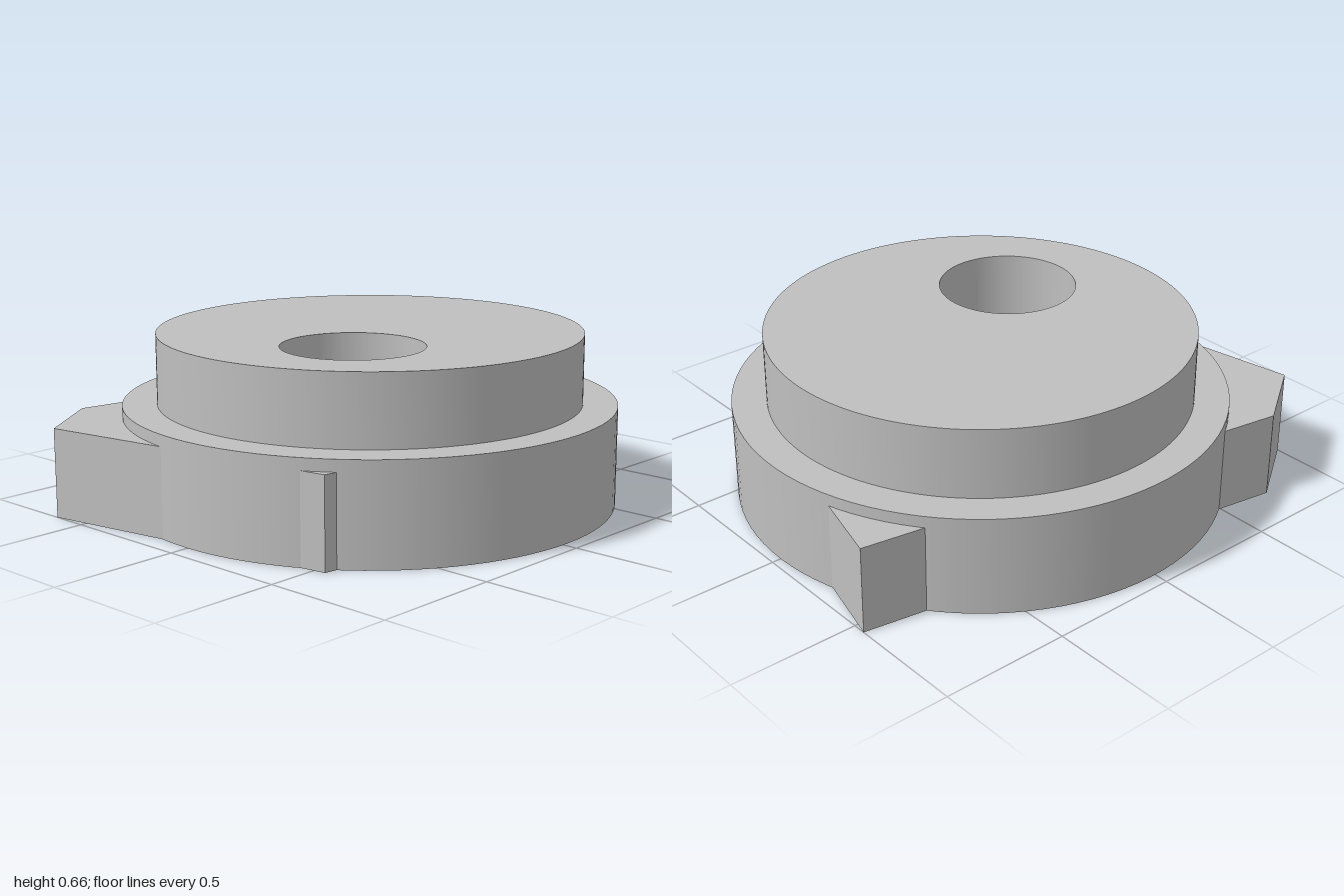
import * as THREE from 'three';
import { toCreasedNormals } from 'three/addons/utils/BufferGeometryUtils.js';

const CX = 0.02; // axis of the round parts

export function createModel() {
  const group = new THREE.Group();
  const grey = new THREE.MeshStandardMaterial({ color: 0xbfbfbf });
  grey.name = 'grey';

  const add = (name, geometry) => {
    const mesh = new THREE.Mesh(geometry, grey);
    mesh.name = name;
    group.add(mesh);
  };
  // Extrudes a plan outline (shape y = -z) upward between two heights
  const slab = (shape, bottom, top) => {
    const g = new THREE.ExtrudeGeometry(shape, { depth: top - bottom, bevelEnabled: false, curveSegments: 96 });
    g.rotateX(-Math.PI / 2).translate(0, bottom, 0);
    return toCreasedNormals(g, 0.5);
  };
  const disc = (r, bottom, top) =>
    new THREE.CylinderGeometry(r, r, top - bottom, 96).translate(CX, (bottom + top) / 2, 0);

  // Round base
  add('baseDisc', disc(0.945, 0, 0.385));

  // Raised disc with an off-centre hole
  const upper = new THREE.Shape().absarc(CX, 0, 0.813, 0, Math.PI * 2);
  upper.holes.push(new THREE.Path().absarc(-0.278, -0.19, 0.267, 0, Math.PI * 2, true));
  add('upperDisc', slab(upper, 0.385, 0.655));

  // Low central hub, partly exposed at the bottom of the hole
  add('hub', disc(0.238, 0.38, 0.42));

  // Clipped square plate whose corners stick out of the base
  const corners = [[-1, -0.64], [-0.72, -0.83], [1, -0.55], [0.7, 0.6], [0, 0.67], [-0.795, 0.545]];
  const plate = new THREE.Shape(corners.map(([x, z]) => new THREE.Vector2(x, -z)));
  add('cornerPlate', slab(plate, 0, 0.34));

  return group;
}
